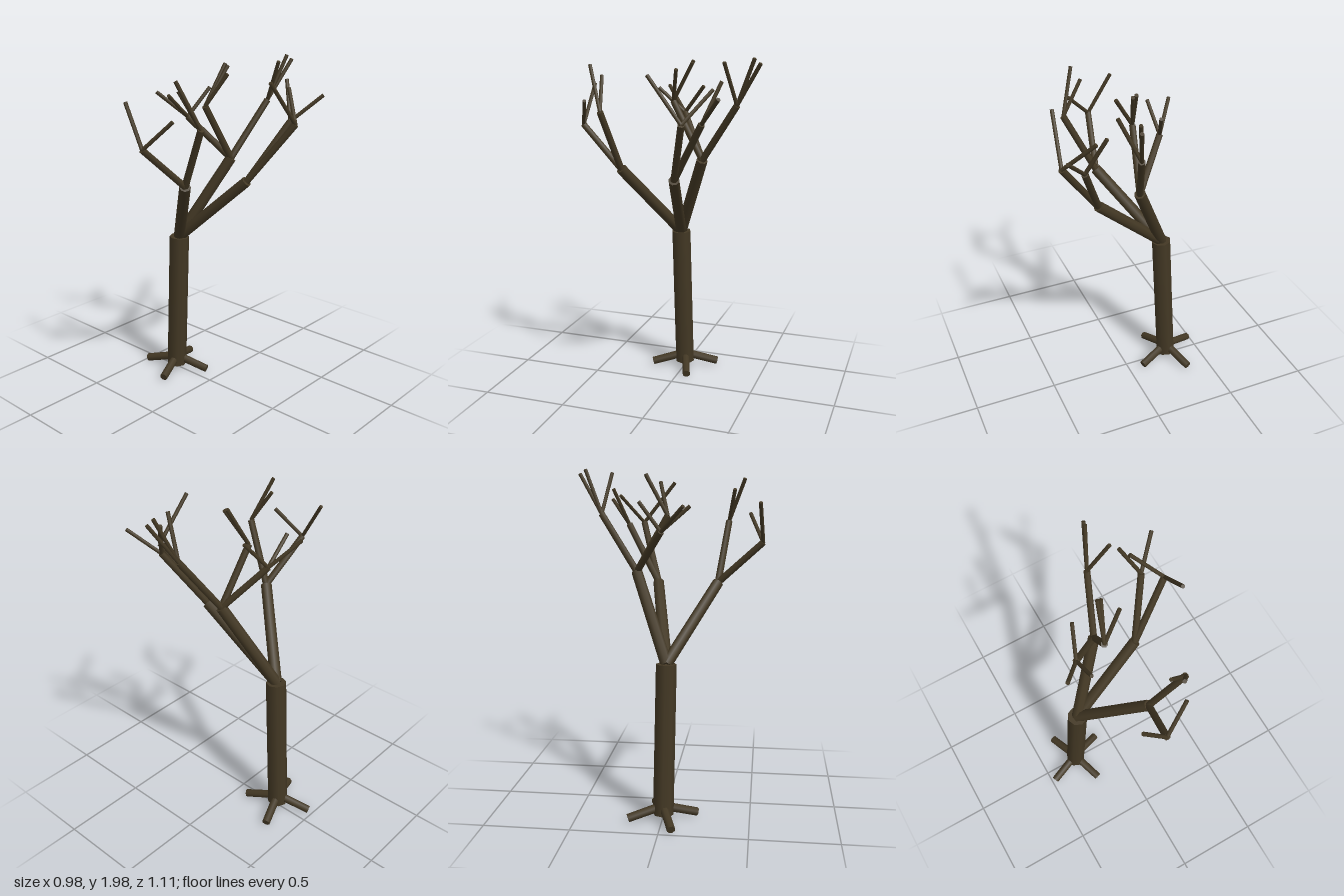
import * as THREE from 'three';

const UP = new THREE.Vector3(0, 1, 0);

export function createModel() {
  const tree = new THREE.Group();
  tree.name = 'bareTree';
  const bark = new THREE.MeshStandardMaterial({ color: 0x433824 });
  bark.name = 'darkBark';

  // A straight limb between two points
  function limb(name, from, to, rFrom, rTo) {
    const a = new THREE.Vector3(...from);
    const dir = new THREE.Vector3(...to).sub(a);
    const length = dir.length();
    const mesh = new THREE.Mesh(new THREE.CylinderGeometry(rTo, rFrom, length, 8), bark);
    mesh.name = name;
    mesh.position.copy(a).addScaledVector(dir, 0.5);
    mesh.quaternion.setFromUnitVectors(UP, dir.normalize());
    tree.add(mesh);
  }

  // Leaning trunk
  const crown = [-0.235, 0.92, 0.016];
  limb('trunk', [-0.283, 0.04, 0.004], crown, 0.06, 0.059);

  // Four roots, a quarter turn apart
  for (let i = 0; i < 4; i++) {
    const angle = 0.345 + i * Math.PI / 2;
    const x = Math.cos(angle), z = -Math.sin(angle);
    limb('root', [-0.283, 0.09, 0.002], [-0.283 + x * 0.206, 0.033, 0.002 + z * 0.206], 0.025, 0.024);
  }

  // Each bough carries branches, each branch carries twigs
  const boughs = [
    { end: [0, 1.41, -0.185], branches: [
      { end: [0.09, 1.735, -0.405], twigs: [[0.155, 1.965, -0.545], [0.145, 1.99, -0.51], [0.2, 1.97, -0.36]] },
      { end: [-0.035, 1.735, 0], twigs: [[0, 1.965, -0.13], [0.02, 1.955, -0.13], [0.083, 1.92, -0.055]] },
      { end: [-0.19, 1.655, -0.02], twigs: [[-0.305, 1.8, 0.115], [-0.185, 1.795, 0.14], [-0.135, 1.815, -0.15]] },
    ] },
    { end: [0.205, 1.325, -0.085], branches: [
      { end: [0.35, 1.66, -0.285], twigs: [[0.258, 1.875, -0.365], [0.48, 1.805, -0.41]] },
      { end: [0.445, 1.665, -0.205], twigs: [[0.3, 1.835, -0.33], [0.417, 1.91, -0.01]] },
    ] },
    { end: [0.075, 1.345, 0.283], branches: [
      { end: [0.243, 1.69, 0.335], twigs: [[0.12, 1.88, 0.372], [0.155, 1.94, 0.428]] },
      { end: [0.018, 1.585, 0.54], twigs: [[-0.12, 1.815, 0.522], [0.167, 1.74, 0.463]] },
    ] },
  ];
  for (const bough of boughs) {
    limb('bough', crown, bough.end, 0.034, 0.032);
    for (const branch of bough.branches) {
      limb('branch', bough.end, branch.end, 0.02, 0.019);
      for (const tip of branch.twigs) limb('twig', branch.end, tip, 0.011, 0.011);
    }
  }
  return tree;
}
